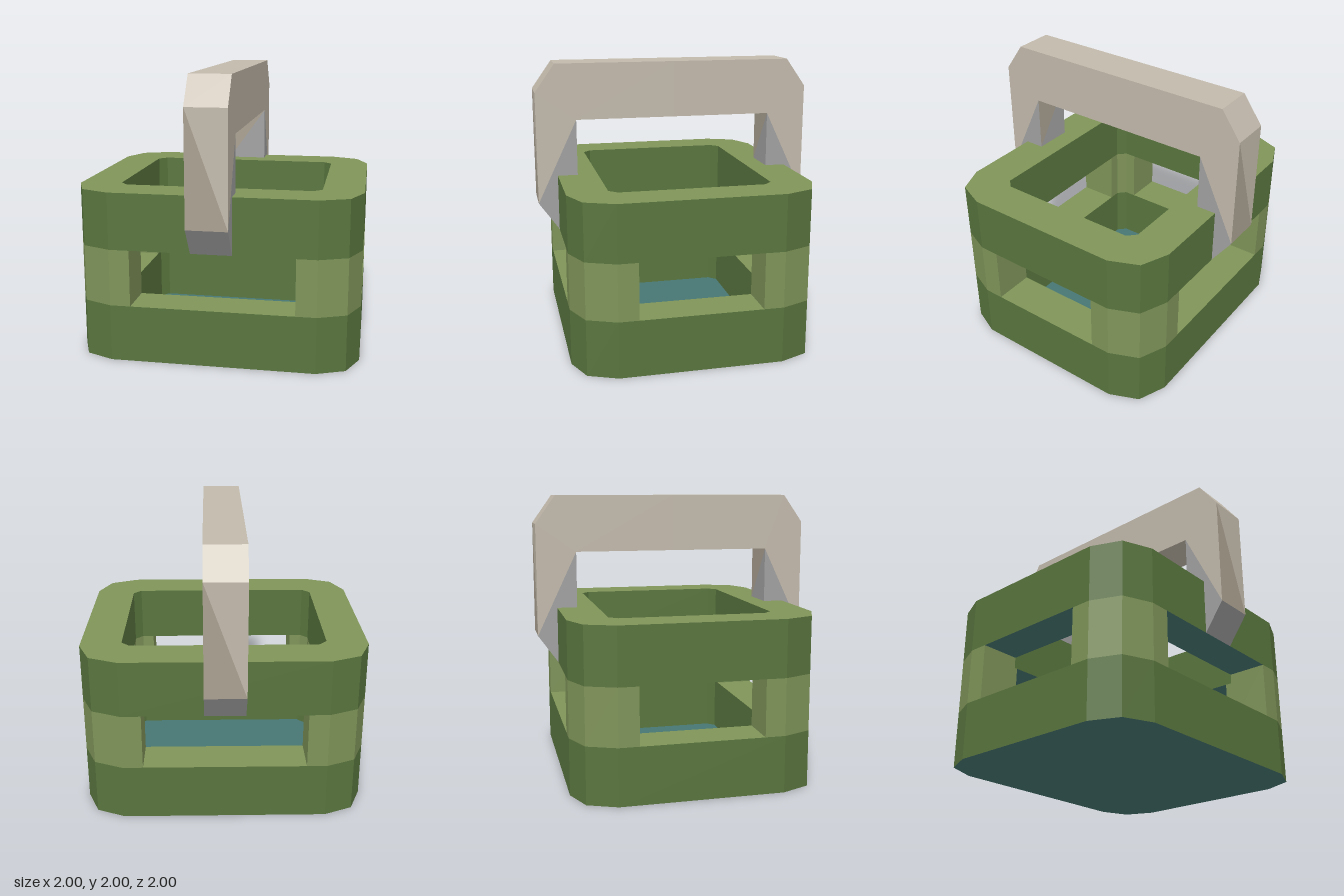
import * as THREE from 'three';

const mat = (color) => new THREE.MeshStandardMaterial({ color, flatShading: true });

// Flat convex or fan-shaped panels, corners counter-clockwise from outside
function panels(name, material, polygons) {
  const v = [];
  for (const p of polygons) {
    for (let i = 1; i < p.length - 1; i++) v.push(...p[0], ...p[i], ...p[i + 1]);
  }
  const g = new THREE.BufferGeometry();
  g.setAttribute('position', new THREE.Float32BufferAttribute(v, 3));
  g.computeVertexNormals();
  const mesh = new THREE.Mesh(g, material);
  mesh.name = name;
  return mesh;
}

// Upright walls around a plan loop; plan y points to the back
function walls(name, material, loop, y0, y1) {
  return panels(name, material, loop.map(([ax, ay], i) => {
    const [bx, by] = loop[(i + 1) % loop.length];
    return [[ax, y0, -ay], [bx, y0, -by], [bx, y1, -by], [ax, y1, -ay]];
  }));
}

// Repeat one corner in all four quadrants as a closed loop
function fourCorners(c) {
  const r = [...c].reverse();
  return [
    ...c,
    ...r.map(([x, y]) => [-x, y]),
    ...c.map(([x, y]) => [-x, -y]),
    ...r.map(([x, y]) => [x, -y]),
  ];
}

const shapeOf = (loop) => new THREE.Shape(loop.map(([x, y]) => new THREE.Vector2(x, y)));

// Horizontal sheet facing up (1) or down (-1)
function sheet(name, material, shape, y, facing) {
  const g = new THREE.ShapeGeometry(shape);
  g.rotateX(-facing * Math.PI / 2);
  g.translate(0, y, 0);
  const mesh = new THREE.Mesh(g, material);
  mesh.name = name;
  return mesh;
}

export function createModel() {
  const model = new THREE.Group();
  model.name = 'lantern';
  const green = mat(0x59753e), olive = mat(0x7f9459), teal = mat(0x477673);
  const taupe = mat(0xc2b9ab), darkTaupe = mat(0xaaa090), grey = mat(0xa1a1a1);

  const outer = fourCorners([[1, 0.571], [0.914, 0.774], [0.714, 0.857]]);
  const inner = fourCorners([[0.714, 0.514], [0.657, 0.571]]);
  const ring = shapeOf(outer);
  ring.holes.push(shapeOf(inner));

  // Lower and upper bands
  for (const [name, y0, y1] of [['lowerBand', 0, 0.4], ['upperBand', 0.8, 1.2]]) {
    const band = new THREE.Group();
    band.name = name;
    band.add(
      walls('outerWall', green, outer, y0, y1),
      walls('innerWall', green, [...inner].reverse(), y0, y1),
      sheet('rim', olive, ring, y1, 1),
    );
    if (y0 > 0) band.add(sheet('underside', teal, ring, y0, -1));
    model.add(band);
  }

  // Thin floor, seen from inside and below
  const floorMat = mat(0x477673);
  floorMat.side = THREE.DoubleSide;
  model.add(sheet('floor', floorMat, shapeOf(outer), 0, 1));

  // Corner posts
  const post = [
    [0.571, 0.571], [0.657, 0.571], [0.714, 0.514], [0.714, 0.43], [1, 0.43],
    [1, 0.571], [0.914, 0.774], [0.714, 0.857], [0.571, 0.857],
  ];
  for (const sx of [-1, 1]) {
    for (const sy of [-1, 1]) {
      const loop = post.map(([x, y]) => [x * sx, y * sy]);
      if (sx * sy < 0) loop.reverse();
      model.add(walls('cornerPost', olive, loop, 0.4, 0.8));
    }
  }

  // Handle: one half, repeated by a half turn
  const w = 0.143;
  const bothSides = (profile) => [
    profile.map(([z, y]) => [-w, y, z]),
    profile.map(([z, y]) => [w, y, z]).reverse(),
  ];
  // fan start must stay first when the side is reversed
  const sides = (profile) => {
    const [a, b] = bothSides(profile);
    return [a, [b[b.length - 1], ...b.slice(0, -1)]];
  };
  // Strip across the handle's width between two profile points
  const across = ([z0, y0], [z1, y1]) => [[-w, y0, z0], [w, y0, z0], [w, y1, z1], [-w, y1, z1]];

  for (const turn of [0, Math.PI]) {
    const half = new THREE.Group();
    half.name = 'handleHalf';
    half.rotation.y = turn;
    half.add(
      panels('handleBeam', taupe, [
        ...sides([[0.714, 1.6], [1, 1], [1, 1.8], [0.857, 2], [0, 2], [0, 1.6]]),
        across([1, 1.8], [0.857, 2]),
        across([0.857, 2], [0, 2]),
        across([0, 1.6], [0.714, 1.6]),
        [[-w, 1.8, 1], [w, 1, 1], [w, 1.8, 1]],
      ]),
      panels('handleLegShade', darkTaupe, [
        [[-w, 1.8, 1], [-w, 1, 1], [w, 1, 1]],
        [[w, 1.6, 0.714], [w, 1.2, 0.714], [-w, 1.6, 0.714]],
      ]),
      panels('handleFoot', grey, [
        ...sides([[0.857, 1.2], [0.857, 0.8], [1, 1], [0.714, 1.6], [0.714, 1.2]]),
        across([0.857, 0.8], [1, 1]),
        [[-w, 1.6, 0.714], [w, 1.2, 0.714], [-w, 1.2, 0.714]],
      ]),
    );
    model.add(half);
  }
  return model;
}
